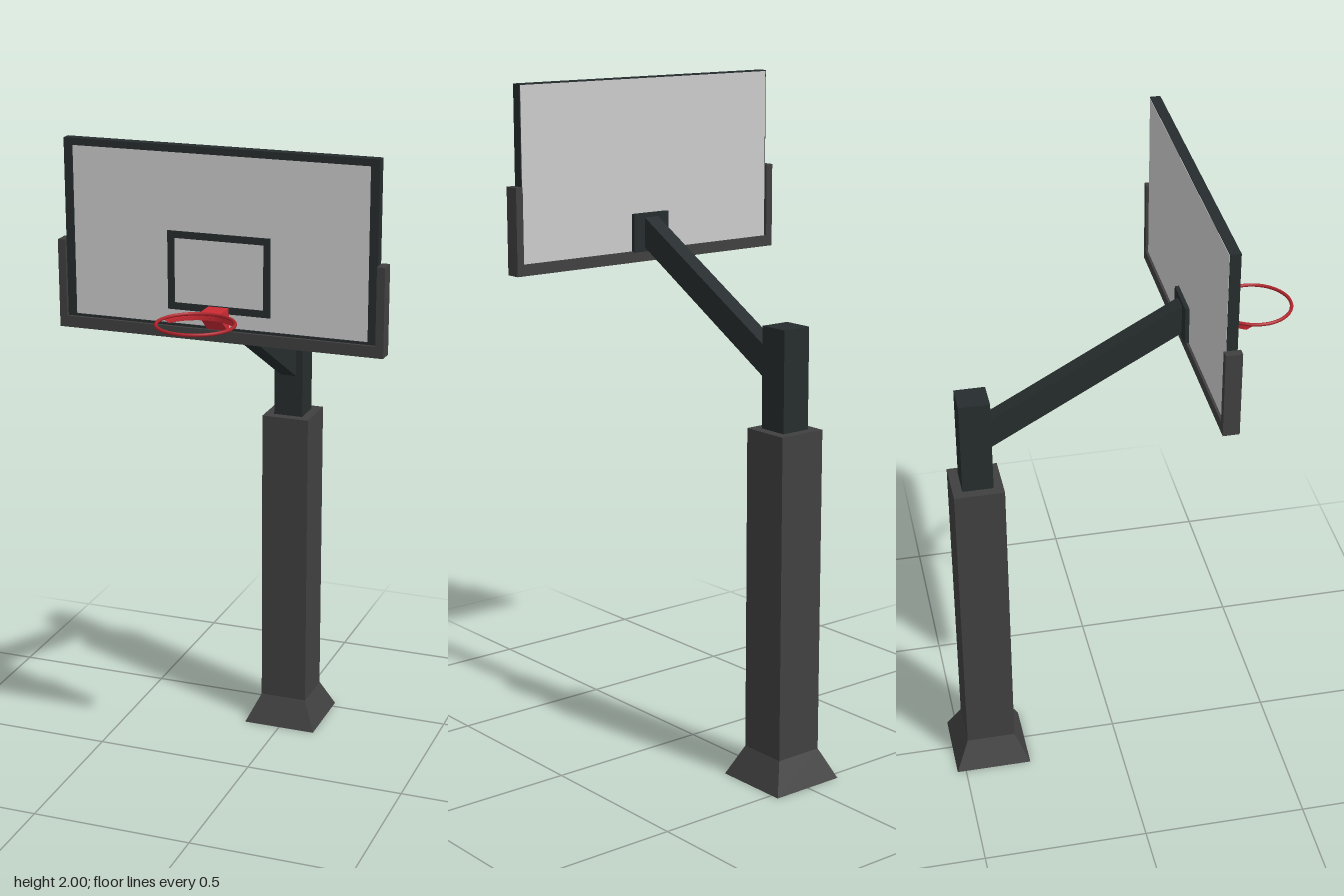
import * as THREE from 'three';

const mat = (color) => new THREE.MeshStandardMaterial({ color, flatShading: true });

export function createModel() {
  const root = new THREE.Group();
  const steel = mat(0x262c2e), padding = mat(0x404040), red = mat(0xcc2a33);
  const glass = mat(0xcccccc);

  const add = (name, geometry, material, parent = root) => {
    const mesh = new THREE.Mesh(geometry, material);
    mesh.name = name;
    parent.add(mesh);
    return mesh;
  };
  // Box given by its lower and upper limits on each axis
  const box = (name, material, [x0, x1], [y0, y1], [z0, z1], parent) => {
    const g = new THREE.BoxGeometry(x1 - x0, y1 - y0, z1 - z0);
    g.translate((x0 + x1) / 2, (y0 + y1) / 2, (z0 + z1) / 2);
    return add(name, g, material, parent);
  };
  // Side profile of [z, y] points, extruded across x
  const sideProfile = (name, material, points, width) => {
    const shape = new THREE.Shape(points.map(([z, y]) => new THREE.Vector2(-z, y)));
    const g = new THREE.ExtrudeGeometry(shape, { depth: width, bevelEnabled: false });
    g.translate(0, 0, -width / 2).rotateY(Math.PI / 2);
    return add(name, g, material);
  };
  const group = (name) => {
    const g = new THREE.Group();
    g.name = name;
    root.add(g);
    return g;
  };

  // Flared base, padded post and inner pole
  const postZ = -0.41;
  const base = new THREE.CylinderGeometry(0.075 * Math.SQRT2, 0.117 * Math.SQRT2, 0.09, 4);
  base.rotateY(Math.PI / 4).translate(0, 0.045, postZ);
  add('base', base, padding);
  const square = (name, material, half, y) =>
    box(name, material, [-half, half], y, [postZ - half, postZ + half]);
  square('postPadding', padding, 0.075, [0.09, 1.05]);
  square('pole', steel, 0.046, [1.05, 1.345]);

  // Sloping arm and its mounting plate
  sideProfile('arm', steel, [[-0.38, 1.172], [0.2, 1.5], [0.2, 1.59], [-0.38, 1.264]], 0.05);
  box('mountPlate', steel, [-0.065, 0.065], [1.485, 1.6], [0.195, 0.208]);

  // Backboard panel with a frame round the top and sides
  const board = group('backboard');
  box('panel', glass, [-0.457, 0.457], [1.485, 1.997], [0.207, 0.234], board);
  const frame = (name, [x0, x1, y0, y1], sides, top, bottom, z0, z1) => {
    const shape = new THREE.Shape();
    shape.moveTo(x0, y0).lineTo(x1, y0).lineTo(x1, y1).lineTo(x0, y1).closePath();
    const hole = new THREE.Path();
    hole.moveTo(x0 + sides, y0 + bottom).lineTo(x0 + sides, y1 - top)
      .lineTo(x1 - sides, y1 - top).lineTo(x1 - sides, y0 + bottom).closePath();
    shape.holes.push(hole);
    const g = new THREE.ExtrudeGeometry(shape, { depth: z1 - z0, bevelEnabled: false });
    add(name, g.translate(0, 0, z0), steel, board);
  };
  frame('frameFront', [-0.46, 0.46, 1.485, 2], 0.025, 0.02, 0.01, 0.232, 0.238);
  box('frameTop', steel, [-0.46, 0.46], [1.997, 2], [0.208, 0.232], board);
  for (const s of [-1, 1]) {
    const x = [s * 0.457, s * 0.46].sort((a, b) => a - b);
    box('frameSide', steel, x, [1.485, 1.997], [0.208, 0.232], board);
  }
  frame('targetSquare', [-0.152, 0.152, 1.535, 1.76], 0.02, 0.02, 0.02, 0.23, 0.237);

  // Safety padding wrapped round the bottom and lower sides
  const pad = group('edgePadding');
  box('padBottom', padding, [-0.483, 0.483], [1.455, 1.488], [0.2, 0.247], pad);
  for (const s of [-1, 1]) {
    const x = [s * 0.46, s * 0.483].sort((a, b) => a - b);
    box('padSide', padding, x, [1.488, 1.71], [0.2, 0.247], pad);
  }

  // Hoop bracket
  sideProfile('hoopBracket', red,
    [[0.23, 1.49], [0.247, 1.49], [0.305, 1.538], [0.305, 1.553], [0.23, 1.553]], 0.06);

  // Rim ring
  const hoopZ = 0.412;
  const ring = new THREE.TorusGeometry(0.108, 0.005, 8, 48);
  ring.rotateX(Math.PI / 2).translate(0, 1.55, hoopZ);
  add('rim', ring, red).material = new THREE.MeshStandardMaterial({ color: 0xb0242c });

  // Support band under the back of the rim, its lower edge shorter than the upper
  const arc = 2.65;
  const band = new THREE.CylinderGeometry(0.108, 0.108, 0.017, 24, 1, true, Math.PI - arc / 2, arc);
  const p = band.attributes.position;
  for (let i = 0; i < p.count; i++) {
    if (p.getY(i) > 0) continue;
    const a = Math.atan2(p.getX(i), -p.getZ(i)) * 0.85;
    p.setX(i, Math.sin(a) * 0.108);
    p.setZ(i, -Math.cos(a) * 0.108);
  }
  band.translate(0, 1.54, hoopZ);
  const bandMat = mat(0xcc2a33);
  bandMat.side = THREE.DoubleSide;
  add('rimSupport', band, bandMat);

  return root;
}
